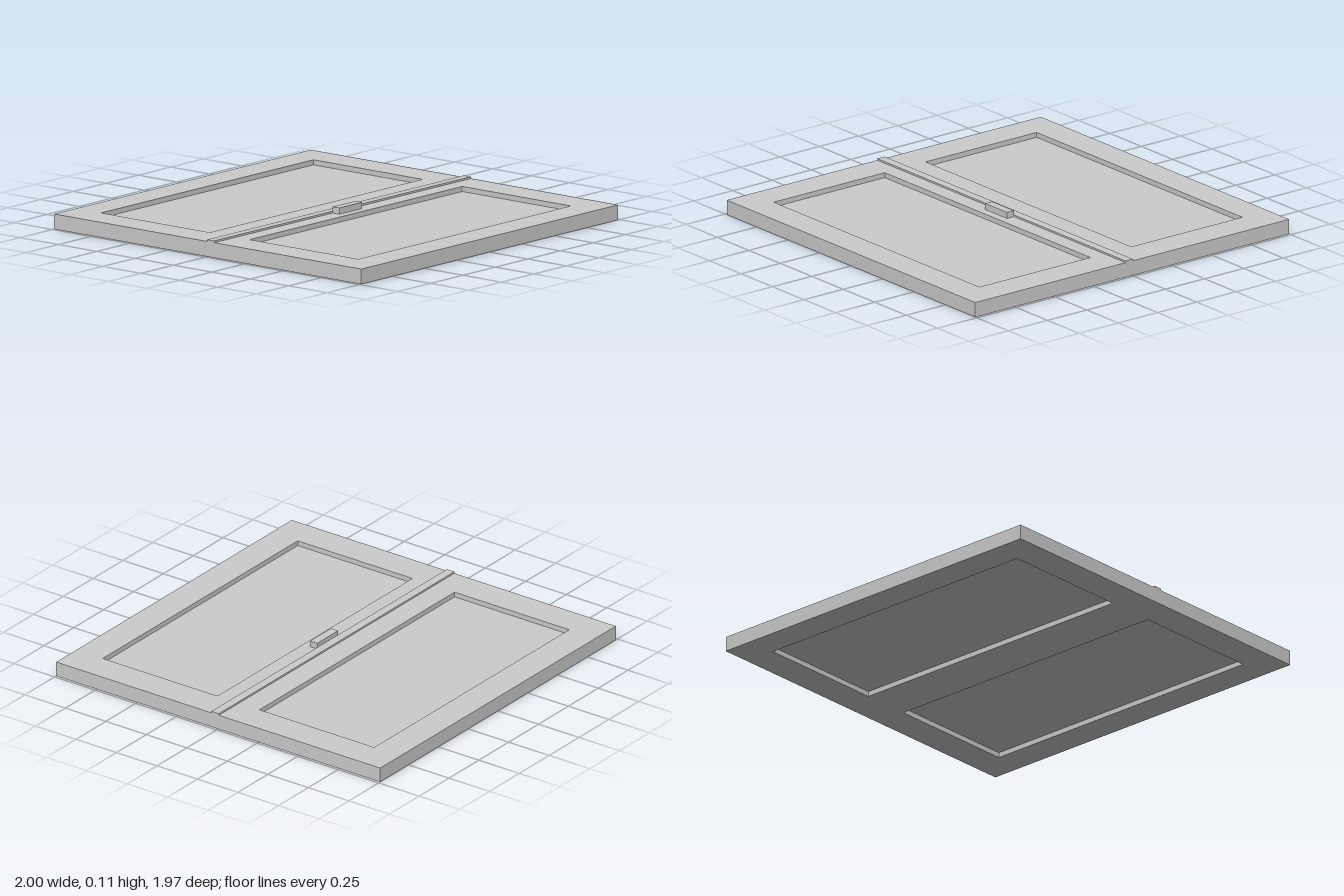
import * as THREE from 'three';

const material = new THREE.MeshStandardMaterial({ color: 0xcccccc, flatShading: true });

// Box given by its minimum and maximum corners
function box(name, [x0, y0, z0], [x1, y1, z1]) {
  const mesh = new THREE.Mesh(new THREE.BoxGeometry(x1 - x0, y1 - y0, z1 - z0), material);
  mesh.name = name;
  mesh.position.set((x0 + x1) / 2, (y0 + y1) / 2, (z0 + z1) / 2);
  return mesh;
}

function rectangle(PathType, x0, z0, x1, z1) {
  return new PathType([[x0, z0], [x1, z0], [x1, z1], [x0, z1]].map(([x, z]) => new THREE.Vector2(x, z)));
}

export function createModel() {
  const model = new THREE.Group();
  model.name = 'doublePanelDoor';

  const thickness = 0.077, halfLength = 0.987;
  const inner = 0.13, outer = 0.838, panelHalf = 0.817;

  // Frame with two rectangular openings, lying flat
  const outline = rectangle(THREE.Shape, -1, -halfLength, 1, halfLength);
  for (const x0 of [-outer, inner]) {
    outline.holes.push(rectangle(THREE.Path, x0, -panelHalf, x0 + outer - inner, panelHalf));
  }
  const frameGeometry = new THREE.ExtrudeGeometry(outline, { depth: thickness, bevelEnabled: false });
  frameGeometry.rotateX(-Math.PI / 2);
  const frame = new THREE.Mesh(frameGeometry, material);
  frame.name = 'frame';
  model.add(frame);

  // Thin panels recessed from both faces
  for (const [name, x0] of [['rightPanel', -outer], ['leftPanel', inner]]) {
    model.add(box(name, [x0, 0.026, -panelHalf], [x0 + outer - inner, 0.051, panelHalf]));
  }

  // Cover strip over the meeting edge, and the handle beside it
  model.add(box('coverStrip', [-0.004, thickness - 0.01, -halfLength], [0.042, 0.086, halfLength]));
  model.add(box('handle', [0.042, thickness - 0.01, -0.1], [0.086, 0.109, 0.075]));

  return model;
}
